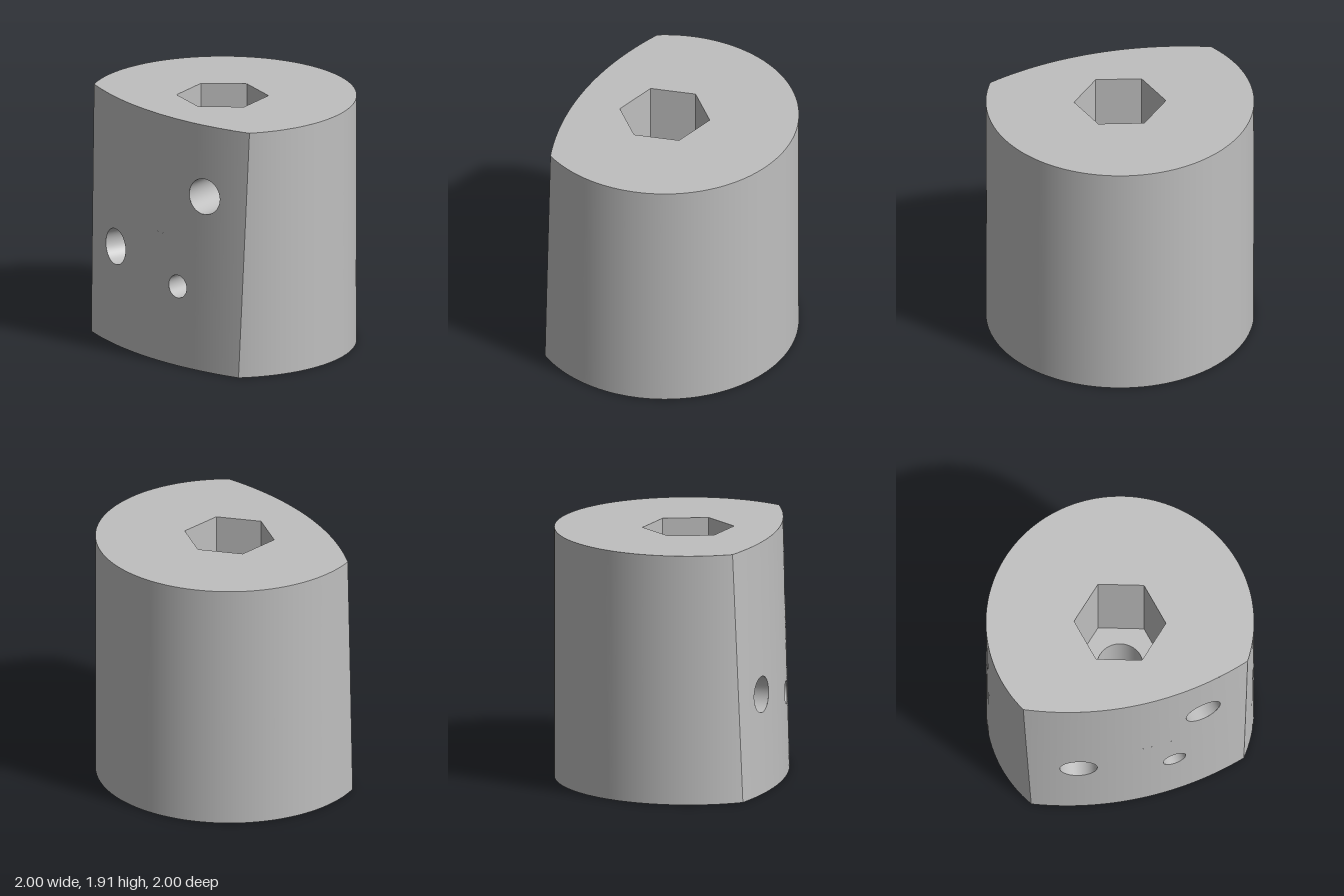
import * as THREE from 'three';
import { ParametricGeometry } from 'three/addons/geometries/ParametricGeometry.js';

const H = 1.915, R = 1.007, BORE = 0.175, HEX = 0.345, POCKET_FLOOR = 0.96;
const TURN = -0.796; // heading of the cut face
const lerp = THREE.MathUtils.lerp;

// Half angle of the cylinder removed by the cut, growing towards the top
const halfAngle = (y) => lerp(0.949, 1.032, y / H);

// Point on the bulging cut face: t runs -1..1 between its side edges
function facePoint(t, y, target = new THREE.Vector3()) {
  const half = R * Math.sin(halfAngle(y));
  const mid = lerp(0.725, 0.677, y / H);
  const sag = mid - R * Math.cos(halfAngle(y));
  const r = (half * half + sag * sag) / (2 * sag);
  const u = t * half;
  return target.set(u, y, mid - r + Math.sqrt(r * r - u * u));
}

export function createModel() {
  const model = new THREE.Group();
  model.name = 'cutCylinder';
  const body = new THREE.Group();
  body.name = 'body';
  body.rotation.y = TURN;
  body.position.set(-0.007, 0, 0.006);
  model.add(body);

  const grey = new THREE.MeshStandardMaterial({ color: 0xbfbfbf, side: THREE.DoubleSide });
  grey.name = 'grey';
  const add = (name, geometry, y = 0) => {
    const mesh = new THREE.Mesh(geometry, grey);
    mesh.name = name;
    mesh.position.y = y;
    body.add(mesh);
  };
  const patch = (name, fn, nu, nv) => add(name, new ParametricGeometry(fn, nu, nv));

  // Round outer wall
  patch('outerWall', (u, v, p) => {
    const y = v * H, h = halfAngle(y);
    const a = lerp(h, 2 * Math.PI - h, u);
    p.set(R * Math.sin(a), y, R * Math.cos(a));
  }, 96, 6);

  // Cut face in three cells, each surrounding one drilled hole
  const cells = [
    { u: -0.47, y: 0.758, r: 0.138, t0: -1, t1: 0, y0: 0, y1: H },
    { u: 0.26, y: 0.615, r: 0.088, t0: 0, t1: 1, y0: 0, y1: 1 },
    { u: 0.495, y: 1.36, r: 0.138, t0: 0, t1: 1, y0: 1, y1: H },
  ];
  const DEPTH = 0.43;
  cells.forEach((c, i) => {
    const width = (y) => R * Math.sin(halfAngle(y));
    const ct = c.u / width(c.y);
    const rim = (a, k = 1) => {
      const y = c.y + k * c.r * Math.sin(a);
      return [(c.u + k * c.r * Math.cos(a)) / width(y), y];
    };
    patch('cutFace' + i, (k, v, p) => {
      const a = v * 2 * Math.PI, cos = Math.cos(a), sin = Math.sin(a);
      const m = Math.max(Math.abs(cos), Math.abs(sin));
      const et = ct + (cos / m) * (cos > 0 ? c.t1 - ct : ct - c.t0);
      const ey = c.y + (sin / m) * (sin > 0 ? c.y1 - c.y : c.y - c.y0);
      const [t, y] = rim(a);
      facePoint(lerp(t, et, k), lerp(y, ey, k), p);
    }, 12, 96);

    // Hole drilled square to the face
    const e = 0.01;
    const along = facePoint(ct + e, c.y).sub(facePoint(ct - e, c.y));
    const inward = new THREE.Vector3(along.z, 0, -along.x).normalize().multiplyScalar(DEPTH);
    patch('holeWall' + i, (u, v, p) => {
      facePoint(...rim(u * 2 * Math.PI), p).addScaledVector(inward, v);
    }, 48, 1);
    patch('holeFloor' + i, (u, v, p) => {
      facePoint(...rim(v * 2 * Math.PI, lerp(0.001, 1, u)), p).add(inward);
    }, 2, 48);
  });

  // Flat faces: outline points are [x, z]
  const ring = (r, n, offset) => Array.from({ length: n }, (_, k) => {
    const a = offset + (k / n) * 2 * Math.PI;
    return [r * Math.sin(a), r * Math.cos(a)];
  });
  const hexagon = ring(HEX, 6, Math.PI / 2 - TURN);
  const circle = ring(BORE, 48, 0);
  const outline = (y) => {
    const h = halfAngle(y), points = [];
    for (let k = 0; k < 96; k++) {
      const a = lerp(h, 2 * Math.PI - h, k / 96);
      points.push([R * Math.sin(a), R * Math.cos(a)]);
    }
    for (let k = 0; k < 48; k++) {
      const p = facePoint(-1 + k / 24, y);
      points.push([p.x, p.z]);
    }
    return points;
  };
  const plate = (name, outer, inner, y, up) => {
    const sign = up ? -1 : 1;
    const vectors = (list) => list.map(([x, z]) => new THREE.Vector2(x, sign * z));
    const shape = new THREE.Shape(vectors(outer));
    shape.holes.push(new THREE.Path(vectors(inner)));
    add(name, new THREE.ShapeGeometry(shape).rotateX(sign * Math.PI / 2), y);
  };
  plate('topFace', outline(H), hexagon, H, true);
  plate('pocketFloor', hexagon, circle, POCKET_FLOOR, true);
  plate('bottomFace', outline(0), circle, 0, false);

  // Hexagonal pocket walls
  hexagon.forEach(([x0, z0], k) => {
    const [x1, z1] = hexagon[(k + 1) % 6];
    patch('pocketWall' + k, (u, v, p) => {
      p.set(lerp(x1, x0, u), lerp(POCKET_FLOOR, H, v), lerp(z1, z0, u));
    }, 1, 1);
  });

  // Round bore below the pocket
  patch('bore', (u, v, p) => {
    const a = -u * 2 * Math.PI;
    p.set(BORE * Math.sin(a), v * POCKET_FLOOR, BORE * Math.cos(a));
  }, 48, 1);

  return model;
}
